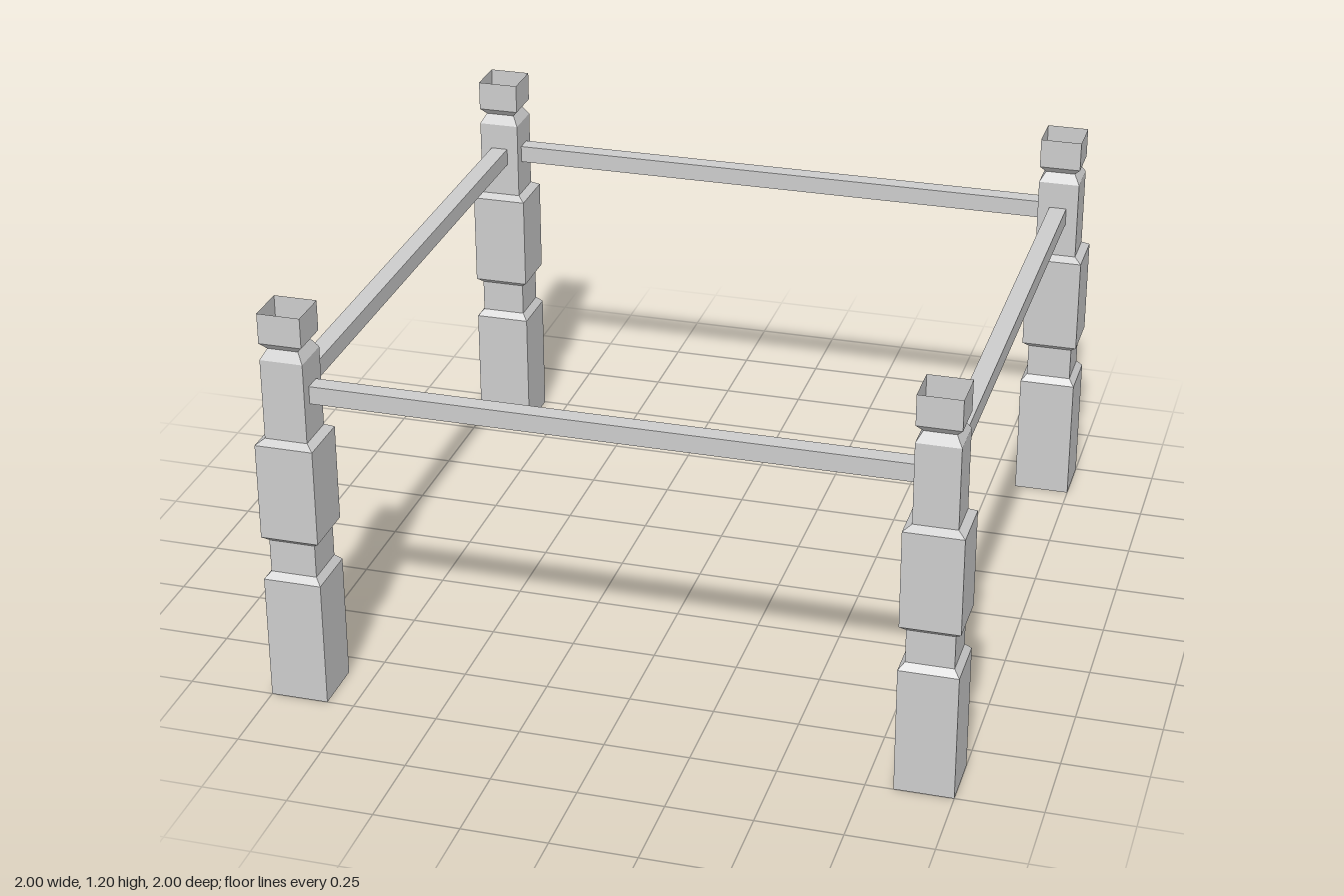
import * as THREE from 'three';

// Square post profile from the ground up: [half width, height]
const PROFILE = [
  [0, 0], [0.085, 0], [0.085, 0.38], [0.068, 0.4], [0.068, 0.5],
  [0.085, 0.515], [0.085, 0.805], [0.0625, 0.82], [0.0625, 1.06],
  [0.045, 1.09], [0.0625, 1.11], [0.0625, 1.2],
];
const OFFSET = 0.915; // post centre from the middle
const RAIL = 0.053; // rail thickness
const RAIL_LENGTH = 1.78;
const RAIL_Y = 0.952;

export function createModel() {
  const model = new THREE.Group();
  model.name = 'fourPostFrame';

  // Four-sided lathe, open and hollow at the top
  const postMaterial = new THREE.MeshStandardMaterial({
    color: 0xcccccc, flatShading: true, side: THREE.DoubleSide,
  });
  const points = PROFILE.map(([half, y]) => new THREE.Vector2(half * Math.SQRT2, y));
  const postGeometry = new THREE.LatheGeometry(points, 4, Math.PI / 4).toNonIndexed();
  postGeometry.computeVertexNormals();

  for (const [xName, sx] of [['Left', 1], ['Right', -1]]) {
    for (const [zName, sz] of [['front', 1], ['back', -1]]) {
      const post = new THREE.Mesh(postGeometry, postMaterial);
      post.name = `${zName}${xName}Post`;
      post.position.set(sx * OFFSET, 0, sz * OFFSET);
      model.add(post);
    }
  }

  // Rails joining neighbouring posts
  const railMaterial = new THREE.MeshStandardMaterial({ color: 0xcccccc, flatShading: true });
  const railGeometry = new THREE.BoxGeometry(RAIL_LENGTH, RAIL, RAIL);
  ['frontRail', 'leftRail', 'backRail', 'rightRail'].forEach((name, i) => {
    const angle = (i * Math.PI) / 2;
    const rail = new THREE.Mesh(railGeometry, railMaterial);
    rail.name = name;
    rail.position.set(Math.sin(angle) * OFFSET, RAIL_Y, Math.cos(angle) * OFFSET);
    rail.rotation.y = angle;
    model.add(rail);
  });

  return model;
}
